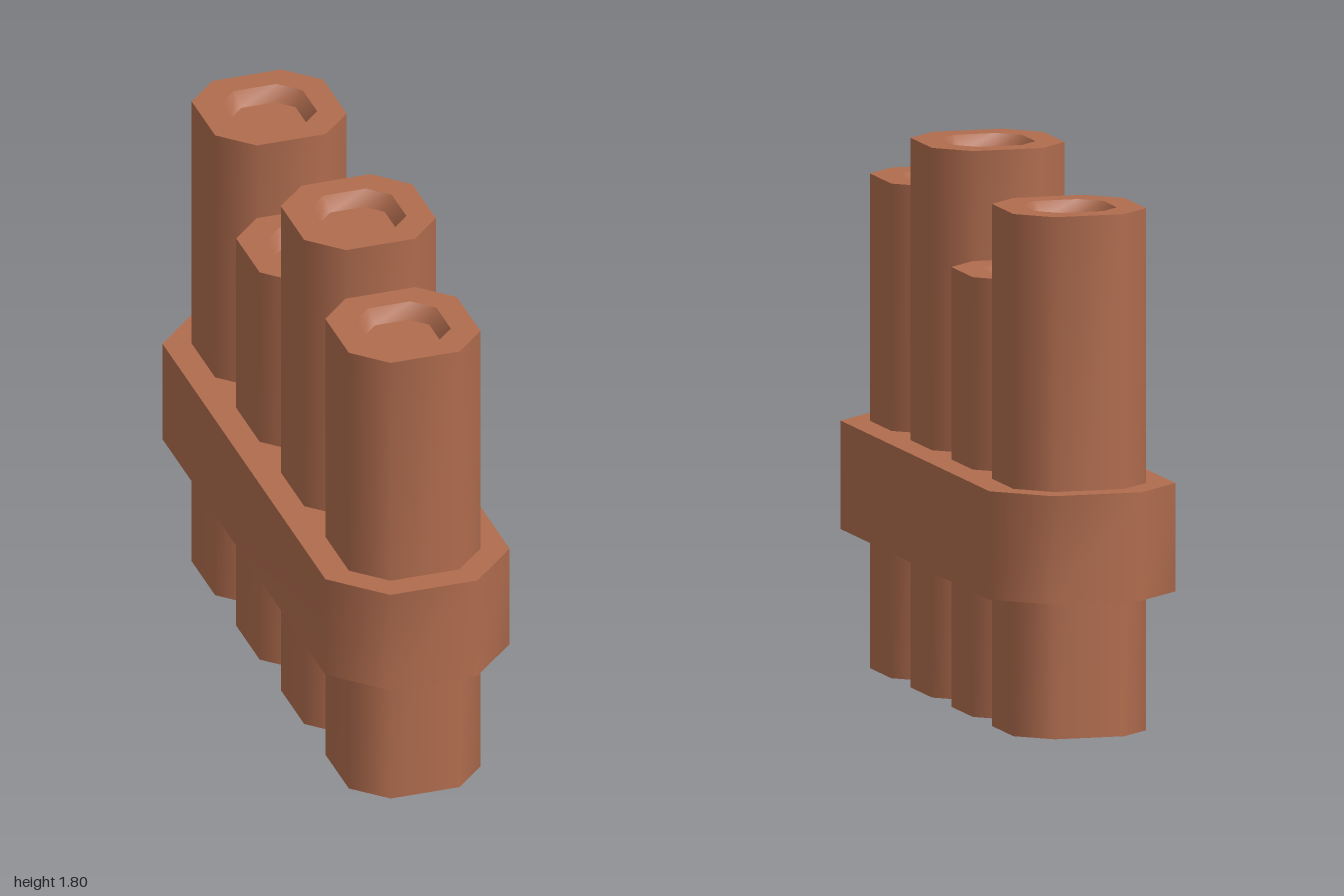
import * as THREE from 'three';
import { toCreasedNormals } from 'three/addons/utils/BufferGeometryUtils.js';

// Rectangle with cut corners; w, l are half sizes, c is the corner cut
function outline(w, l, c) {
  return [[c - w, l], [w - c, l], [w, l - c], [w, c - l],
    [w - c, -l], [c - w, -l], [-w, c - l], [-w, l - c]];
}

// Skin a stack of rings [scale, y] of one outline; scale 0 closes an end
function loft(points, rings) {
  const pos = [];
  const at = ([s, y], i) => {
    const p = points[i % points.length];
    return [p[0] * s, y, p[1] * s];
  };
  for (let r = 0; r < rings.length - 1; r++) {
    const a = rings[r], b = rings[r + 1];
    for (let i = 0; i < points.length; i++) {
      if (a[0] > 0) pos.push(...at(a, i), ...at(a, i + 1), ...at(b, i + 1));
      if (b[0] > 0) pos.push(...at(a, i), ...at(b, i + 1), ...at(b, i));
    }
  }
  const geo = new THREE.BufferGeometry();
  geo.setAttribute('position', new THREE.Float32BufferAttribute(pos, 3));
  geo.computeVertexNormals();
  return toCreasedNormals(geo, THREE.MathUtils.degToRad(50));
}

export function createModel() {
  const group = new THREE.Group();
  group.name = 'pipeBundle';
  const clay = new THREE.MeshStandardMaterial({ color: 0xb06c4e });
  clay.name = 'clay brown';

  // The whole row stands slightly turned
  const row = new THREE.Group();
  row.name = 'pipeRow';
  row.rotation.y = 0.1345;
  group.add(row);

  // Four pipes, front to back, each with a shallow tapered recess on top
  const section = outline(0.225, 0.225, 0.107);
  [1.62, 1.8, 1.44, 1.71].forEach((h, i) => {
    const pipe = new THREE.Mesh(loft(section, [
      [0, 0], [1, 0], [1, h], [0.62, h], [0.49, h - 0.05], [0, h - 0.05],
    ]), clay);
    pipe.name = `pipe${i + 1}`;
    pipe.position.z = 0.6735 - i * 0.449;
    row.add(pipe);
  });

  // Band around the row
  const band = new THREE.Mesh(loft(outline(0.315, 0.987, 0.166), [
    [0, 0.455], [1, 0.455], [1, 0.81], [0, 0.81],
  ]), clay);
  band.name = 'band';
  row.add(band);

  return group;
}
